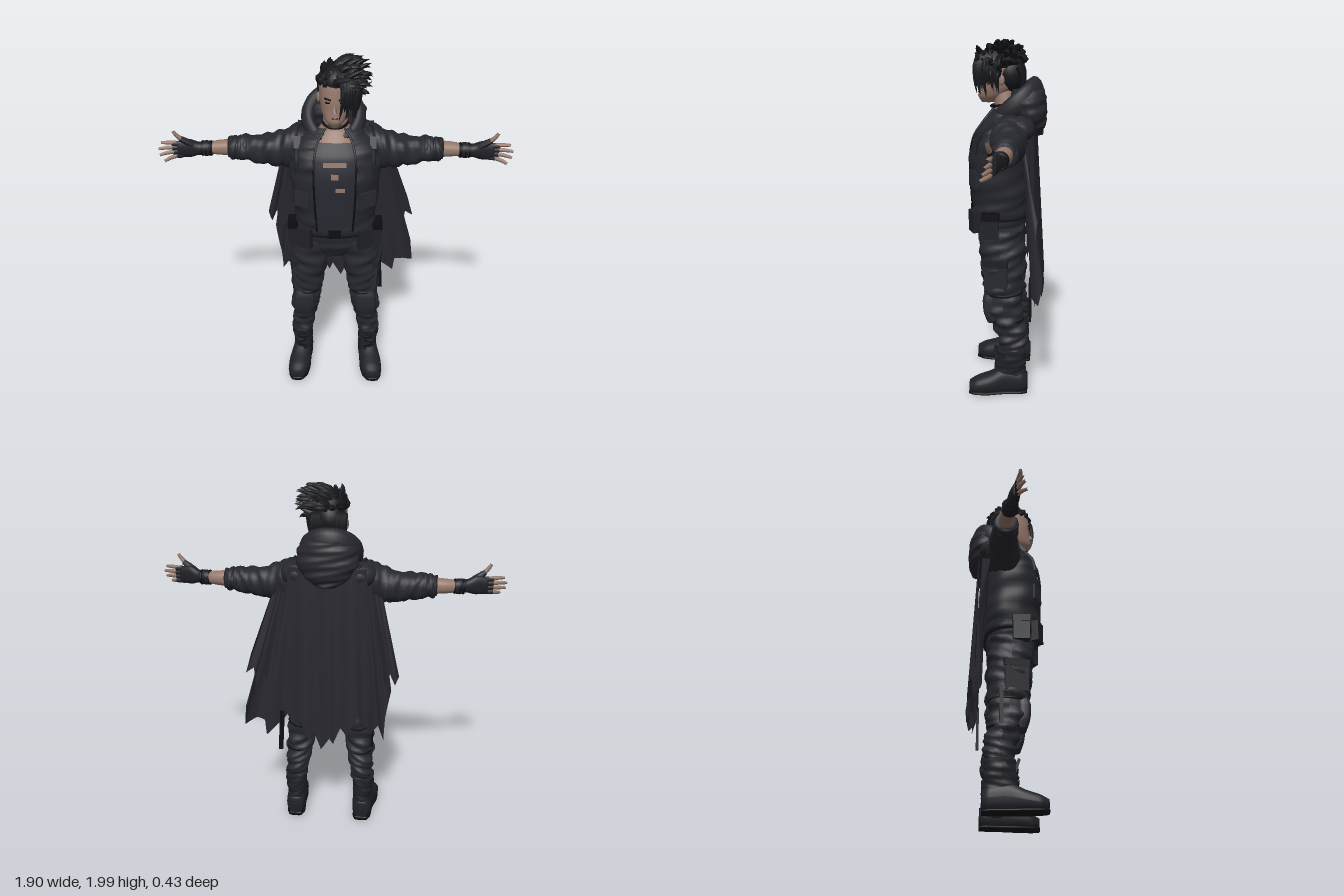
import * as THREE from 'three';
import { mergeGeometries } from 'three/addons/utils/BufferGeometryUtils.js';

const V = (p) => new THREE.Vector3(...p);
const mat = (name, color, open) => {
  const m = new THREE.MeshStandardMaterial({ color });
  m.name = name;
  if (open) m.side = THREE.DoubleSide;
  return m;
};

export function createModel() {
  const root = new THREE.Group();
  root.name = 'cloakedFigure';
  const cloth = mat('charcoalCloth', 0x292a32), capeMat = mat('cloakCloth', 0x27272e, true);
  const jacketMat = mat('jacketCloth', 0x26272e, true), trouser = mat('trouserCloth', 0x272830);
  const hairMat = mat('blackHair', 0x17181c), leather = mat('darkLeather', 0x202127);
  const skin = mat('skin', 0x94776a), ink = mat('blackTrim', 0x0e0e11);

  let seed = 7;
  const rnd = (a = 0, b = 1) => {
    seed = (seed * 16807) % 2147483647;
    return a + (b - a) * (seed / 2147483647);
  };

  const add = (name, geo, m) => {
    const mesh = new THREE.Mesh(geo, m);
    mesh.name = name;
    root.add(mesh);
  };
  // adds a part on the left side and its mirror image on the right
  const pair = (name, geo, m) => {
    add(name + 'Left', geo, m);
    const g = geo.clone().scale(-1, 1, 1), id = [...g.index.array];
    for (let i = 0; i < id.length; i += 3) [id[i], id[i + 1]] = [id[i + 1], id[i]];
    g.setIndex(id);
    add(name + 'Right', g, m);
  };
  const box = (size, pos, rot = [0, 0, 0]) => new THREE.BoxGeometry(...size)
    .applyMatrix4(new THREE.Matrix4().makeRotationFromEuler(new THREE.Euler(...rot))).translate(...pos);
  const ball = (r, pos) => new THREE.SphereGeometry(1, 20, 14).scale(...r).translate(...pos);

  // sections [x, y, z, radiusA, radiusB] blended along one axis, with optional cloth wrinkles
  function loft(secs, { axis = 'y', rings = 24, segs = 28, p = 0.9, wrinkle = 0, start = 0, arc = Math.PI * 2, cap = true, floor = -1 } = {}) {
    const c = new THREE.CatmullRomCurve3(secs.map((s) => V(s.slice(0, 3))));
    const r = new THREE.CatmullRomCurve3(secs.map((s) => new THREE.Vector3(s[3], s[4], 0)));
    const pos = [], idx = [], w = segs + 1, pw = (v) => Math.sign(v) * Math.abs(v) ** p;
    for (let i = 0; i <= rings; i++) {
      const o = c.getPoint(i / rings), q = r.getPoint(i / rings);
      for (let j = 0; j <= segs; j++) {
        const t = start + arc * j / segs;
        const k = wrinkle * (Math.sin(i * 1.1 + 2.5 * Math.sin(t + i * 0.15)) * Math.sin(i * 0.43 + 2 * t) + 0.5 * Math.sin(3 * t + i * 0.8));
        const a = pw(Math.cos(t)) * (q.x + k), b = pw(Math.sin(t)) * (q.y + k);
        const d = axis === 'y' ? [a, 0, b] : axis === 'x' ? [0, a, -b] : [a, -b, 0];
        pos.push(o.x + d[0], Math.max(floor, o.y + d[1]), o.z + d[2]);
        if (i < rings && j < segs) {
          const n = i * w + j;
          idx.push(n, n + w, n + 1, n + 1, n + w, n + w + 1);
        }
      }
    }
    if (cap) for (const i of [0, rings]) {
      const o = c.getPoint(i / rings), n = pos.length / 3;
      pos.push(o.x, o.y, o.z);
      for (let j = 0; j < segs; j++) i ? idx.push(n, i * w + j + 1, i * w + j) : idx.push(n, j, j + 1);
    }
    const g = new THREE.BufferGeometry();
    g.setAttribute('position', new THREE.Float32BufferAttribute(pos, 3));
    g.setIndex(idx);
    g.computeVertexNormals();
    return g;
  }
  // curved strand that tapers to a fraction of its radius
  function strand(a, b, c, r, end = 0.05, sides = 5) {
    const curve = new THREE.QuadraticBezierCurve3(V(a), V(b), V(c));
    const g = new THREE.TubeGeometry(curve, 6, r, sides), P = g.attributes.position, v = new THREE.Vector3();
    for (let i = 0; i < P.count; i++) {
      const t = Math.floor(i / (sides + 1)) / 6, o = curve.getPointAt(t);
      v.fromBufferAttribute(P, i).sub(o).multiplyScalar(1 - (1 - end) * t * t).add(o);
      P.setXYZ(i, v.x, v.y, v.z);
    }
    g.computeVertexNormals();
    return g;
  }
  const cord = (pts, r) => new THREE.TubeGeometry(new THREE.CatmullRomCurve3(pts.map(V)), 24, r, 5);

  // head, neck and face
  add('head', loft([[0, 1.655, .11, .025, .035], [0, 1.69, .09, .055, .075], [0, 1.74, .06, .074, .1], [0, 1.8, .05, .082, .11],
    [0, 1.87, .04, .085, .11], [0, 1.93, .03, .06, .08]]), skin);
  add('neckAndChest', loft([[0, 1.5, .03, .16, .12], [0, 1.56, .015, .13, .105], [0, 1.62, .01, .075, .065], [0, 1.72, .03, .053, .052]]), skin);
  add('nose', new THREE.ConeGeometry(.014, .05, 4).rotateX(-.25).translate(0, 1.765, .16), skin);
  add('mouth', box([.035, .004, .006], [0, 1.712, .16]), ink);
  pair('eye', box([.03, .008, .006], [.035, 1.793, .15], [0, .3, 0]), ink);
  pair('brow', box([.036, .008, .008], [.036, 1.812, .151], [0, .3, .2]), hairMat);
  pair('ear', ball([.01, .028, .018], [.086, 1.78, .03]), skin);
  add('neckCord', new THREE.TorusGeometry(.064, .008, 6, 24).rotateX(1.75).translate(0, 1.645, .03), ink);

  // hair: close cap, spikes swept to the left, long fringe over the left eye
  const locks = [];
  for (let i = 0; i < 110; i++) {
    const t = rnd(0, 6.283), e = rnd(.05, 1.5), cx = Math.cos(t) * Math.cos(e), cz = Math.sin(t) * Math.cos(e), cy = Math.sin(e);
    const a = [.01 + .085 * cx, 1.865 + .07 * cy, .04 + .105 * cz], L = rnd(.5, 1), s = cx > -.3 ? 1 : .15;
    locks.push(strand(a, [a[0] + .03 * cx + .03 * s, a[1] + .045 * cy + .015, a[2] + .035 * cz],
      [Math.min(.19, a[0] + L * (.03 * cx + .1 * s)), Math.min(1.985, a[1] + L * (.055 * cy + rnd(-.03, .04))), a[2] + L * (.05 * cz - .015)], .02));
  }
  for (let i = 0; i < 26; i++) {
    const t = i / 25, x = .02 + .085 * Math.sin(t * 1.57), z = .15 - .13 * t * t;
    locks.push(strand([x * .8, 1.92, z * .8], [x + .045, 1.9, z + .05], [x + rnd(.0, .03), rnd(1.69, 1.77), z + .02], .017));
  }
  for (let i = 0; i < 16; i++) {
    const t = rnd(.2, 1.57), x = .1 * Math.cos(t), y = rnd(1.8, 1.88);
    locks.push(strand([x, y, .12 * Math.sin(t)], [x + .06, y + .02, .13 * Math.sin(t)], [Math.min(.185, x + rnd(.06, .11)), y + rnd(-.03, .05), .12 * Math.sin(t)], .016));
  }
  for (let i = 0; i < 14; i++) {
    const x = -.085 + .013 * i;
    locks.push(strand([x, 1.85, -.06], [x, 1.79, -.1], [x * 1.1, rnd(1.67, 1.74), -.075], .017));
  }
  locks.push(ball([.091, .083, .117], [.003, 1.88, .035]), ball([.089, .1, .09], [0, 1.81, -.01]));
  add('hair', mergeGeometries(locks), hairMat);

  // torso: shirt with torn openings, open jacket with a raised collar
  const body = [[0, 1.07, .04, .215, .16], [0, 1.2, .04, .232, .168], [0, 1.38, .045, .245, .165], [0, 1.49, .035, .24, .15], [0, 1.57, .01, .195, .118], [0, 1.625, -.005, .11, .085]];
  add('shirt', loft([...body.slice(0, 4).map(([x, y, z, a, b]) => [x, y, z, a - .012, b - .012]), [0, 1.565, .02, .17, .11]], { p: .85, cap: false }), cloth);
  const gap = .38;
  add('jacket', loft(body, { p: .8, wrinkle: .006, rings: 34, segs: 44, start: Math.PI / 2 + gap, arc: Math.PI * 2 - 2 * gap, cap: false }), jacketMat);
  pair('jacketEdge', cord(body.map(([, y, z, a, b]) => [a * Math.sin(gap) ** .8, y, z + b * Math.cos(gap) ** .8]), .006), ink);
  for (const [w, h, x, y, z, r] of [[.12, .025, 0, 1.465, .186, -.2], [.04, .03, 0, 1.4, .196, -.12], [.05, .02, .03, 1.325, .2, 0]])
    add('shirtTear', box([w, h, .009], [x, y, z], [r, 0, 0]), skin);
  pair('chestPocket', box([.09, .09, .012], [.175, 1.26, .178], [0, .5, 0]), cloth);
  pair('shoulderStrap', cord([[.2, 1.4, .165], [.2, 1.48, .145], [.2, 1.55, .07], [.19, 1.6, -.02], [.18, 1.56, -.11]], .011), leather);
  pair('shoulderClip', box([.035, .07, .02], [.2, 1.545, .085], [-.8, 0, 0]), leather);

  // hood lying around the neck, closing in a V on the chest
  const hoodPts = [], turns = 12;
  for (let i = 0; i <= turns; i++) {
    const a = -2.75 + 5.5 * i / turns, c = Math.cos(a);
    hoodPts.push([-.01 + .135 * Math.sin(a), 1.635 + .075 * c, -.03 - .115 * c]);
  }
  const hoodCurve = new THREE.CatmullRomCurve3(hoodPts.map(V));
  const hood = new THREE.TubeGeometry(hoodCurve, 40, 1, 14), HP = hood.attributes.position, hv = new THREE.Vector3();
  for (let i = 0; i < HP.count; i++) {
    const t = Math.floor(i / 15) / 40, o = hoodCurve.getPointAt(t), k = Math.sin(Math.PI * t);
    hv.fromBufferAttribute(HP, i).sub(o);
    HP.setXYZ(i, o.x + hv.x * (.02 + .03 * k), o.y + hv.y * (.03 + .055 * k), o.z + hv.z * (.025 + .025 * k));
  }
  hood.computeVertexNormals();
  add('hoodRim', hood, capeMat);
  add('hoodSack', loft([[0, 1.48, -.16, .05, .03], [0, 1.53, -.145, .12, .06], [0, 1.6, -.12, .165, .095], [0, 1.67, -.11, .16, .1], [0, 1.73, -.11, .12, .085]], { wrinkle: .005 }), capeMat);

  // cloak: torn panels hanging from the shoulders
  function panel(name, A, B, hem, fold, waves) {
    const pos = [], idx = [], sub = 4, cols = (hem.length - 1) * sub, rows = 16;
    for (let i = 0; i <= rows; i++) for (let j = 0; j <= cols; j++) {
      const u = j / cols, k = Math.min(Math.floor(j / sub), hem.length - 2), t = i / rows;
      const h = V(hem[k]).lerp(V(hem[k + 1]), j / sub - k), q = V(A).lerp(V(B), u).lerp(h, t);
      pos.push(q.x, q.y, q.z + fold * (.3 + .7 * t) * Math.sin(u * waves * 6.283));
      const n = i * (cols + 1) + j;
      if (i < rows && j < cols) idx.push(n, n + cols + 1, n + 1, n + 1, n + cols + 1, n + cols + 2);
    }
    const g = new THREE.BufferGeometry();
    g.setAttribute('position', new THREE.Float32BufferAttribute(pos, 3));
    g.setIndex(idx);
    g.computeVertexNormals();
    add(name, g, capeMat);
  }
  panel('cloakBack', [-.21, 1.58, -.15], [.21, 1.58, -.15], [[-.25, .8, -.17], [-.21, .68, -.18], [-.18, .74, -.19], [-.12, .62, -.2],
    [-.08, .66, -.2], [-.04, .56, -.2], [-.02, .6, -.2], [.03, .52, -.2], [.07, .62, -.2], [.1, .58, -.2], [.15, .7, -.19], [.2, .66, -.18], [.25, .8, -.17]], .01, 3.5);
  panel('cloakWingLeft', [.16, 1.6, -.13], [.25, 1.57, -.08], [[.2, .75, -.17], [.25, .68, -.16], [.29, .64, -.15], [.35, .58, -.15], [.36, .67, -.16],
    [.41, .68, -.17], [.47, .65, -.19], [.455, .78, -.19], [.42, .85, -.18]], .02, 2);
  panel('cloakOuterLeft', [.2, 1.58, -.1], [.26, 1.56, -.07], [[.27, 1, -.12], [.33, .87, -.14], [.36, .95, -.15], [.4, .9, -.16], [.41, 1, -.17], [.455, .97, -.19], [.42, 1.09, -.18]], .014, 1.5);
  panel('cloakWingRight', [-.25, 1.57, -.08], [-.16, 1.6, -.13], [[-.36, .9, -.16], [-.33, .72, -.16], [-.325, .59, -.15], [-.29, .66, -.15], [-.25, .62, -.16], [-.2, .75, -.17]], .018, 2);
  panel('cloakOuterRight', [-.26, 1.56, -.07], [-.2, 1.58, -.1], [[-.4, .99, -.17], [-.38, .93, -.17], [-.35, 1, -.15], [-.32, .9, -.14], [-.27, 1, -.12]], .014, 1.5);
  pair('shoulderMantle', ball([.095, .07, .085], [.17, 1.53, -.07]), capeMat);

  // arms, gloves and fingers
  pair('sleeve', loft([[.14, 1.49, -.01, .11, .1], [.21, 1.485, -.015, .112, .1], [.29, 1.468, -.02, .1, .09], [.38, 1.46, -.025, .081, .078], [.49, 1.467, -.025, .069, .068], [.58, 1.47, -.022, .053, .054]],
    { axis: 'x', wrinkle: .006, rings: 40 }), jacketMat);
  for (const x of [.48, .515, .55]) pair('sleeveRoll', new THREE.TorusGeometry(.053, .016, 8, 20).rotateY(Math.PI / 2).rotateZ((x - .51) * 4)
    .translate(x, 1.47 - (x - .51) * 4 * 0.01, -.023), jacketMat);
  pair('forearm', loft([[.56, 1.47, -.022, .044, .044], [.62, 1.47, -.022, .04, .042], [.69, 1.47, -.015, .031, .034]], { axis: 'x' }), skin);
  pair('glove', loft([[.665, 1.468, -.015, .036, .037], [.7, 1.468, -.012, .042, .04], [.735, 1.47, -.005, .035, .032], [.79, 1.475, .004, .052, .027], [.85, 1.472, .012, .044, .02]], { axis: 'x' }), leather);
  for (const x of [.675, .7, .72]) pair('wristWrap', new THREE.TorusGeometry(.036, .007, 6, 18).rotateY(Math.PI / 2).translate(x, 1.468, -.012), ink);
  for (let k = 0; k < 4; k++) {
    const y = 1.506 - .023 * k, L = [.09, .105, .1, .075][k], z = .012, e = y + .008 - .008 * k;
    pair('finger', strand([.84, y, z], [.84 + L * .6, (y + e) / 2 + .005, z + .008], [.845 + L, e, z + .012 + .012 * k], .0125, .6, 7), skin);
    pair('gloveFinger', strand([.825, y, z], [.85, y, z + .002], [.878, y, z + .005], .015, .9, 7), leather);
  }
  pair('thumb', strand([.79, 1.515, .015], [.84, 1.54, .03], [.863, 1.585, .03], .014, .6, 7), skin);
  pair('gloveThumb', strand([.765, 1.495, .01], [.8, 1.52, .018], [.832, 1.54, .024], .02, .75, 7), leather);

  // hips, belt and pouches
  add('hips', loft([[0, .87, .03, .08, .1], [0, .94, .035, .18, .135], [0, 1.08, .04, .2, .145]], { wrinkle: .003 }), trouser);
  add('belt', loft([[0, 1.03, .04, .222, .162], [0, 1.085, .04, .222, .162]], { rings: 2, p: .85 }), leather);
  add('buckle', box([.07, .05, .015], [0, 1.057, .202]), ink);
  pair('frontPouch', box([.08, .12, .04], [.165, 1.02, .175], [0, .45, 0]), leather);
  pair('sidePouch', box([.05, .14, .09], [.235, 1.01, .08]), leather);
  pair('pouchFlap', box([.056, .04, .096], [.235, 1.064, .08]), ink);

  // trousers with pockets, knee pads and straps
  pair('trouserLeg', loft([[.2, .24, -.035, .058, .07], [.19, .36, -.035, .066, .086], [.178, .48, .005, .08, .1], [.163, .62, .015, .087, .11], [.147, .8, .025, .105, .122], [.115, .98, .03, .12, .125]],
    { wrinkle: .009, rings: 52 }), trouser);
  pair('thighPocket', box([.045, .17, .13], [.232, .73, .05], [0, -.2, -.06]), cloth);
  pair('pocketFlap', box([.052, .04, .138], [.235, .8, .05], [0, -.2, -.06]), leather);
  pair('kneePad', loft([[.185, .44, .075, .05, .03], [.183, .5, .088, .062, .037], [.18, .57, .092, .06, .038], [.177, .62, .085, .05, .03]], { p: .6 }), cloth);
  for (const [y, z, b] of [[.45, -.005, .093], [.605, .014, .105]]) pair('kneeStrap', new THREE.TorusGeometry(1, .07, 6, 28)
    .scale(y < .5 ? .076 : .083, b, .12).rotateX(Math.PI / 2).translate(y < .5 ? .181 : .165, y, z), ink);
  add('hangingStrap', box([.025, .25, .015], [.268, .6, -.14], [0, 0, .06]), ink);
  add('hangingStrapRight', box([.015, .25, .02], [-.25, .54, -.03]), ink);

  // boots
  pair('bootShaft', loft([[.2, .06, -.04, .055, .08], [.2, .14, -.028, .055, .088], [.205, .21, -.03, .06, .086], [.205, .275, -.032, .064, .082]], { wrinkle: .003 }), leather);
  pair('bootFoot', loft([[.2, .07, -.125, .04, .05], [.202, .075, -.09, .056, .075], [.207, .08, 0, .058, .085], [.218, .062, .09, .066, .062], [.226, .05, .16, .062, .05], [.232, .045, .206, .038, .03]],
    { axis: 'z', floor: .012 }), leather);
  pair('bootSole', loft([[.2, .013, -.125, .04, .012], [.202, .013, -.08, .055, .012], [.208, .013, 0, .054, .012], [.22, .013, .1, .064, .012], [.227, .013, .17, .057, .012], [.232, .013, .208, .034, .011]],
    { axis: 'z', p: .7 }), ink);
  for (let k = 0; k < 5; k++) pair('bootLace', box([.05, .007, .012], [.204, .13 + k * .03, .06 - k * .002], [0, 0, k % 2 ? .3 : -.3]), ink);
  pair('bootTongue', box([.06, .07, .015], [.205, .245, .052], [.3, 0, 0]), leather);
  return root;
}
